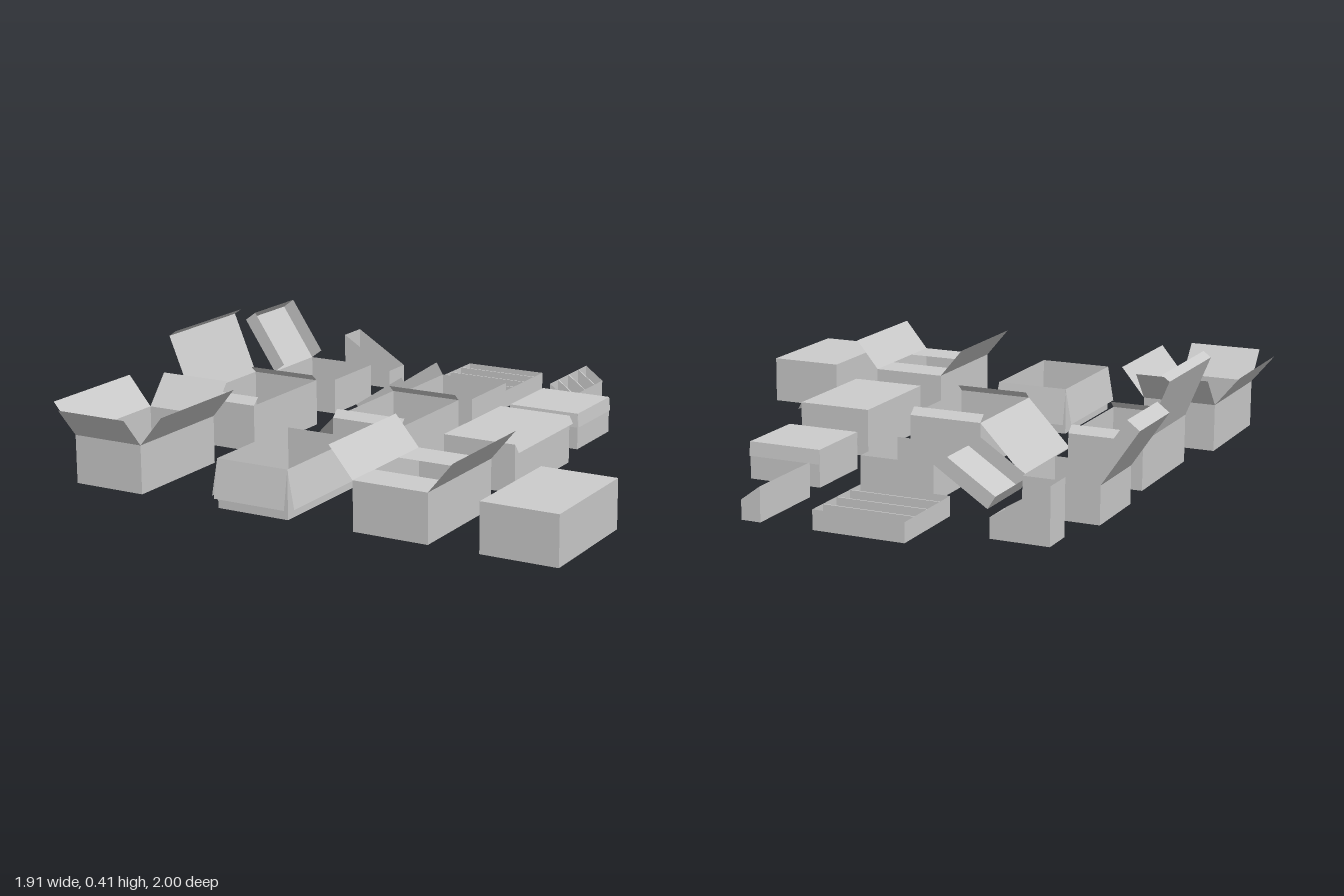
import * as THREE from 'three';

const mat = new THREE.MeshStandardMaterial({ color: 0xcccccc, flatShading: true, side: THREE.DoubleSide });

// Thin flat sheet given by its outline corners
function sheet(parent, name, ...pts) {
  const geo = new THREE.BufferGeometry();
  geo.setAttribute('position', new THREE.Float32BufferAttribute(pts.flat(), 3));
  geo.setIndex([0, 1, 2, 0, 2, 3]);
  geo.computeVertexNormals();
  const mesh = new THREE.Mesh(geo, mat);
  mesh.name = name;
  parent.add(mesh);
}

// Sheet swept along z from an xy line
const strip = (parent, name, [ax, ay], [bx, by], z0, z1) =>
  sheet(parent, name, [ax, ay, z1], [bx, by, z1], [bx, by, z0], [ax, ay, z0]);

function solid(parent, name, w, h, d, x, y, z) {
  const mesh = new THREE.Mesh(new THREE.BoxGeometry(w, h, d), mat);
  mesh.name = name;
  mesh.position.set(x, y, z);
  parent.add(mesh);
}

// Open carton: base and four walls, left wall height hl, right wall height hr
function carton(root, name, x0, x1, z0, z1, hl, hr = hl) {
  const g = new THREE.Group();
  g.name = name;
  root.add(g);
  strip(g, 'base', [x1, 0], [x0, 0], z0, z1);
  strip(g, 'leftWall', [x0, 0], [x0, hl], z0, z1);
  strip(g, 'rightWall', [x1, hr], [x1, 0], z0, z1);
  sheet(g, 'frontWall', [x0, 0, z1], [x1, 0, z1], [x1, hr, z1], [x0, hl, z1]);
  sheet(g, 'backWall', [x1, 0, z0], [x0, 0, z0], [x0, hl, z0], [x1, hr, z0]);
  return g;
}

// Flap on a rim: runs outward by 'out' and upward by 'rise'
function flap(g, side, x0, x1, z0, z1, h, out, rise) {
  const y = h + rise, name = side + 'Flap';
  if (side === 'left') strip(g, name, [x0, h], [x0 - out, y], z0, z1);
  if (side === 'right') strip(g, name, [x1 + out, y], [x1, h], z0, z1);
  if (side === 'front') sheet(g, name, [x0, h, z1], [x1, h, z1], [x1, y, z1 + out], [x0, y, z1 + out]);
  if (side === 'back') sheet(g, name, [x1, h, z0], [x0, h, z0], [x0, y, z0 - out], [x1, y, z0 - out]);
}

export function createModel() {
  const root = new THREE.Group();
  root.name = 'cardboardBoxes';
  const W = 0.27;

  // Row of shipping boxes with four flaps: [out, rise] for left, right, front, back
  const sides = ['left', 'right', 'front', 'back'];
  const up = [0.087, 0.105], down = [0.024, -0.132], shut = [-0.136, 0];
  const shipping = [
    ['openFlapBox', -0.855, [up, up, up, up]],
    ['foldedDownFlapBox', -0.278, [down, down, down, down]],
    ['halfClosedFlapBox', 0.235, [up, up, shut, shut]],
    ['closedFlapBox', 0.685, [shut, shut]],
  ];
  for (const [name, x, flaps] of shipping) {
    const r = [x, x + W, 0.481, 0.908, 0.17];
    const g = carton(root, name, ...r);
    flaps.forEach(([out, rise], i) => flap(g, sides[i], ...r, out, rise));
  }

  // Row of tuck boxes: hinge x, lid end and tuck flap tip
  const tz = [-0.124, 0.298];
  const tuck = [
    ['uprightLidTuckBox', -0.808, [-0.896, 0.385], [-0.868, 0.405]],
    ['loweredLidTuckBox', -0.209, [-0.371, 0.002], [-0.4, 0.019]],
    ['closedTuckBox', 0.23, [0.5, 0.17], [0.514, 0.143]],
  ];
  for (const [name, x, end, tip] of tuck) {
    const r = [x, x + W, ...tz, 0.17];
    const g = carton(root, name, ...r);
    strip(g, 'lid', [x, 0.17], end, ...tz);
    strip(g, 'tuckFlap', end, tip, ...tz);
    if (x < 0) for (const s of ['front', 'back']) flap(g, s, ...r, -0.028, 0.025);
  }

  // Row of square boxes whose lids have rims
  const sz = [-0.56, -0.288];
  const rimmed = [
    ['uprightLidSquareBox', -0.829, [-0.957, 0.323], [-0.914, 0.355], 0],
    ['loweredLidSquareBox', -0.24, [-0.436, 0.004], [-0.464, 0.049], 0],
    ['closedSquareBox', 0.186, [0.456, 0.132], [0.461, 0.082], 0.006],
  ];
  for (const [name, x, end, tip, flare] of rimmed) {
    const h = 0.132, [z0, z1] = sz;
    const g = carton(root, name, x, x + W, z0, z1, h);
    strip(g, 'lid', [x, h], end, z0, z1);
    strip(g, 'lidFrontRim', end, tip, z0, z1);
    const dx = flare ? 0 : tip[0] - end[0], dy = tip[1] - end[1];
    for (const [z, s] of [[z0, -1], [z1, 1]])
      sheet(g, 'lidSideRim', [x, h, z], [...end, z],
        [end[0] + dx, end[1] + dy, z + s * flare], [x + dx, h + dy, z + s * flare]);
  }

  // Upright file holder with sloping sides
  carton(root, 'fileHolder', -0.776, -0.572, -0.842, -0.725, 0.195, 0.07);

  // Wide tray and narrow sloping holder, both split in four
  const wide = carton(root, 'dividedTray', -0.355, -0.03, -1, -0.674, 0.068);
  const narrow = carton(root, 'slopedDividedHolder', 0.16, 0.23, -1, -0.674, 0.12, 0.068);
  for (const z of [-0.928, -0.838, -0.746]) {
    solid(wide, 'divider', 0.325, 0.066, 0.005, -0.1925, 0.034, z);
    for (const s of [-0.0025, 0.0025])
      sheet(narrow, 'divider', [0.16, 0, z + s], [0.23, 0, z + s], [0.23, 0.068, z + s], [0.16, 0.12, z + s]);
    sheet(narrow, 'dividerTop', [0.16, 0.12, z + 0.0025], [0.23, 0.068, z + 0.0025],
      [0.23, 0.068, z - 0.0025], [0.16, 0.12, z - 0.0025]);
  }
  return root;
}
